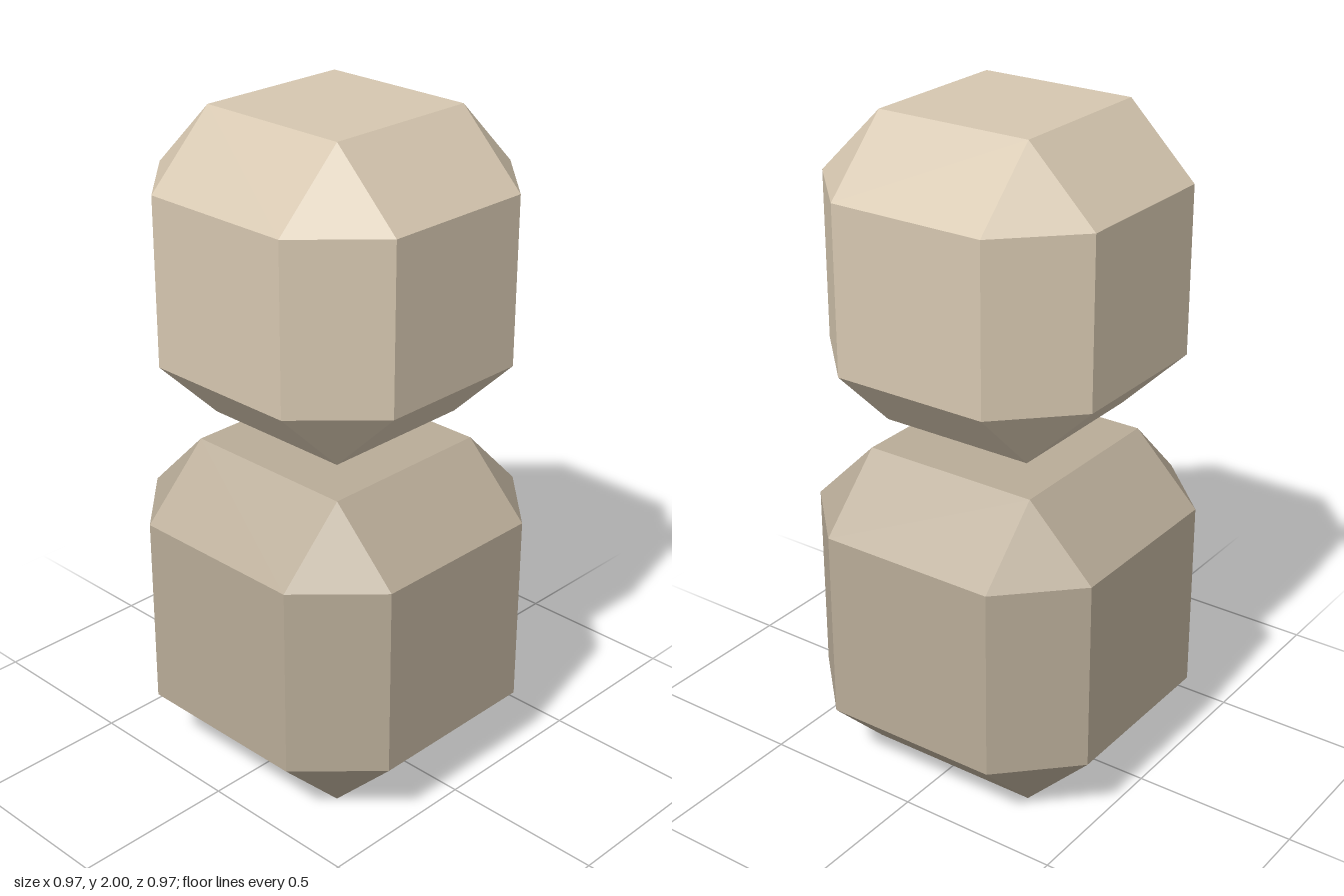
import * as THREE from 'three';
import { ConvexGeometry } from 'three/addons/geometries/ConvexGeometry.js';

// Box with bevelled edges and corners: each corner splits into three points.
function bevelledBlock(name, color, radius, inner, bottom, top, bevel) {
  const centre = (bottom + top) / 2;
  const half = (top - bottom) / 2;
  const points = [];
  for (const sx of [-1, 1]) for (const sy of [-1, 1]) for (const sz of [-1, 1]) {
    points.push(
      new THREE.Vector3(sx * inner, sy * half, sz * inner),
      new THREE.Vector3(sx * radius, sy * (half - bevel), sz * inner),
      new THREE.Vector3(sx * inner, sy * (half - bevel), sz * radius)
    );
  }
  const material = new THREE.MeshStandardMaterial({ color, flatShading: true });
  const mesh = new THREE.Mesh(new ConvexGeometry(points), material);
  mesh.name = name;
  mesh.position.y = centre;
  return mesh;
}

export function createModel() {
  const group = new THREE.Group();
  group.name = 'stackedStones';
  // Larger, darker stone on the ground; smaller, lighter one floating above it
  group.add(bevelledBlock('lowerStone', 0xb9ac98, 0.485, 0.278, 0, 1.0, 0.207));
  group.add(bevelledBlock('upperStone', 0xd6c7b0, 0.452, 0.243, 1.087, 2.0, 0.206));
  return group;
}
